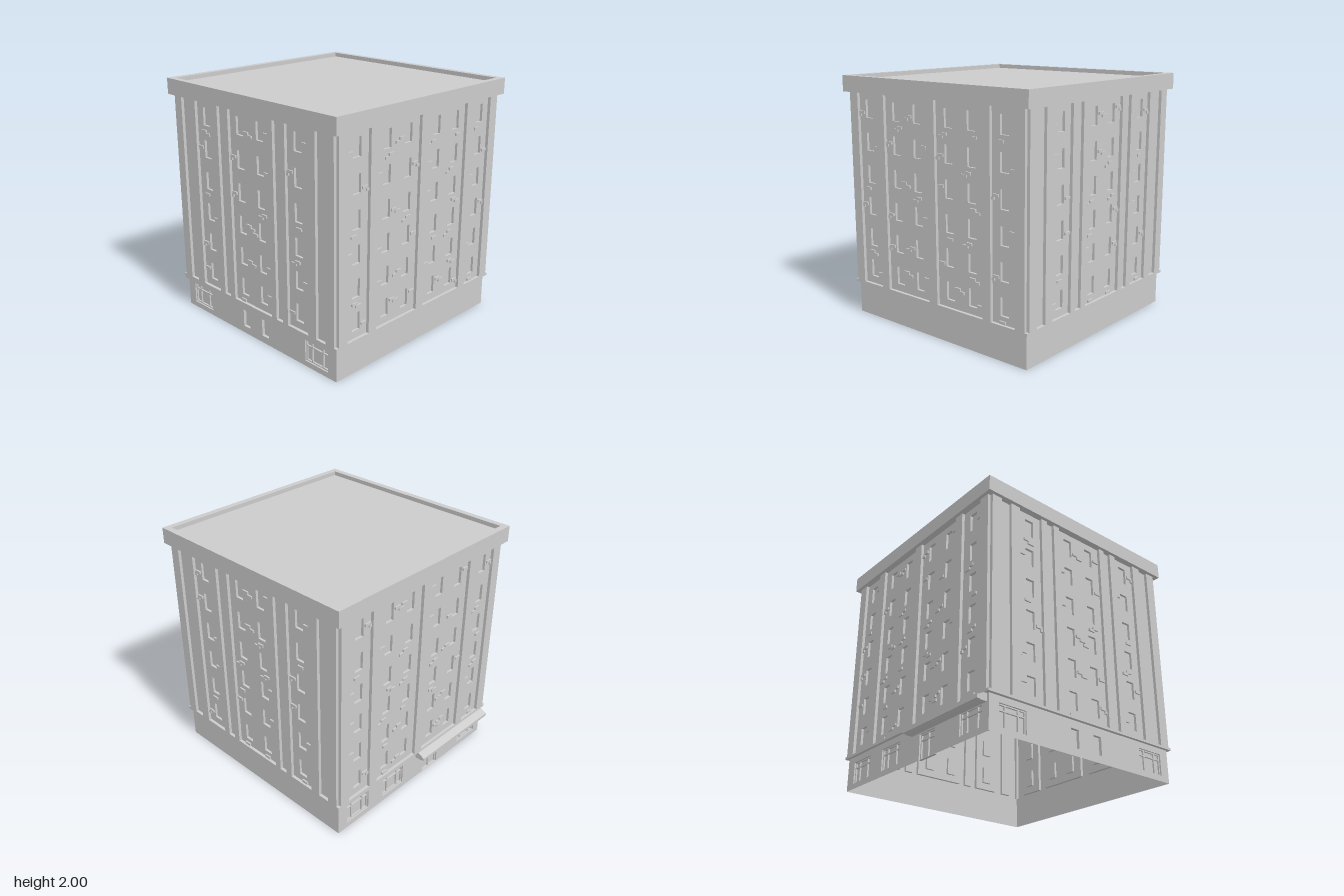
import * as THREE from 'three';
import { mergeGeometries } from 'three/addons/utils/BufferGeometryUtils.js';

const HALF = 0.905;      // half width of the square core
const RELIEF = 0.025;    // how far pilasters and ledge stand out
const LEDGE = 0.27, PANEL_Y = 0.29, EAVES = 1.87;
const grey = new THREE.MeshStandardMaterial({ color: 0xcccccc, side: THREE.DoubleSide });

let seed = 7;
const rand = () => (seed = (seed * 16807) % 2147483647) / 2147483647;

// Rectangles are [u0, u1, y0, y1] on a facade whose outside is +z
function outline(Type, [a, b, c, d]) {
  const s = new Type();
  s.moveTo(a, c);
  s.lineTo(b, c);
  s.lineTo(b, d);
  s.lineTo(a, d);
  s.closePath();
  return s;
}

// Flat sheet with rectangular openings
function sheet(rect, z, holes = []) {
  const s = outline(THREE.Shape, rect);
  s.holes = holes.map(h => outline(THREE.Path, h));
  return new THREE.ShapeGeometry(s).translate(0, 0, z);
}

function block([a, b, c, d], z0, z1) {
  return new THREE.BoxGeometry(b - a, d - c, z1 - z0)
    .translate((a + b) / 2, (c + d) / 2, (z0 + z1) / 2);
}

// The four sides around an opening
function reveal(rect, z0, z1) {
  const g = block(rect, z0, z1);
  g.setIndex(Array.from(g.index.array).slice(0, 24));
  return g;
}

const niche = (rect, z0, z1) => [reveal(rect, z0, z1), sheet(rect, z0)];
const around = (u, w, y0, y1) => [u - w / 2, u + w / 2, y0, y1];
const mirrored = rects => rects.flatMap(([a, b]) => [[a, b], [-b, -a]]);

function add(group, name, geometries) {
  const mesh = new THREE.Mesh(mergeGeometries(geometries), grey);
  mesh.name = name;
  group.add(mesh);
}

// Two stepped bricks beside or below a window
function bricks(u, y, panel) {
  const out = [];
  const w = 0.055, h = 0.022;
  const below = rand() < 0.5;
  const side = rand() < 0.5 ? -1 : 1;
  const bu = below ? u + (rand() - 0.5) * 0.08 : u + side * 0.078;
  const by = below ? y - 0.045 : y + 0.02 + rand() * 0.1;
  [[bu, by], [bu + side * 0.04, by - h]].forEach(([cu, cy], i) => {
    if (i === 1 && rand() < 0.35) return;
    const r = [Math.max(panel[0], cu - w / 2), Math.min(panel[1], cu + w / 2), cy - h / 2, cy + h / 2];
    if (r[1] - r[0] > 0.015 && r[2] > PANEL_Y) out.push(block(r, 0, 0.012));
  });
  return out;
}

function facade({ panels, columns, openings, barred }) {
  const g = new THREE.Group();
  const panelRects = panels.map(([a, b]) => [a, b, PANEL_Y, EAVES + 0.005]);
  const comb = [-HALF, HALF, LEDGE, EAVES + 0.01];

  // Pilasters joined by the ledge at their feet
  add(g, 'pilastersAndLedge', [
    sheet(comb, RELIEF, panelRects),
    reveal(comb, 0, RELIEF),
    ...panelRects.map(p => reveal(p, 0, RELIEF)),
  ]);

  // Recessed wall panels with six storeys of windows
  const wall = [], windows = [], brickwork = [];
  for (const p of panelRects) {
    const holes = [];
    for (const u of columns.filter(c => c > p[0] && c < p[1])) {
      for (let i = 0; i < 6; i++) {
        const y = 0.35 + i * 0.264;
        const hole = around(u, 0.08, y, y + 0.144);
        holes.push(hole);
        windows.push(...niche(hole, -0.02, 0));
        brickwork.push(...bricks(u, y, p));
      }
    }
    wall.push(sheet(p, 0, holes));
  }
  add(g, 'wallPanels', wall);
  add(g, 'windows', windows);
  add(g, 'projectingBricks', brickwork);

  // Ground floor
  const all = [...openings, ...barred];
  add(g, 'groundFloorWall', [sheet([-HALF, HALF, 0, LEDGE], 0, all)]);
  if (all.length) add(g, 'groundFloorOpenings', all.flatMap(r => niche(r, -0.025, 0)));

  // Frames and glazing bars of the wide windows
  const bars = barred.flatMap(([a, b, c, d]) => {
    const t = 0.01, w = b - a, ty = c + (d - c) * 0.7;
    return [
      ...[0, 0.25, 0.75, 1].map(f => around(a + t / 2 + f * (w - t), t, c, d)),
      [a, b, c, c + t], [a, b, ty, ty + t], [a, b, d - t, d],
    ].map(r => block(r, -0.025, -0.012));
  });
  if (bars.length) add(g, 'glazingBars', bars);
  return g;
}

export function createModel() {
  seed = 7;
  const model = new THREE.Group();
  const building = new THREE.Group();
  building.name = 'building';
  building.position.x = 0.015;
  model.add(building);

  const broad = {
    panels: [[-0.225, 0.23], ...mirrored([[0.285, 0.355], [0.415, 0.638], [0.722, 0.818]])],
    columns: [-0.525, -0.115, 0.115, 0.525],
  };
  const flank = {
    panels: mirrored([[0.043, 0.508], [0.59, 0.815]]),
    columns: [-0.705, -0.393, -0.165, 0.165, 0.393, 0.705],
  };
  const wide = u => around(u, 0.245, 0.045, 0.22);
  const door = [0.11, 0.3, 0.003, 0.2];

  const sides = [
    ['front', 0, {
      ...broad,
      openings: [-0.115, 0.115].map(u => around(u, 0.08, 0.06, 0.205)),
      barred: [wide(-0.698), wide(0.698)],
    }],
    ['leftSide', Math.PI / 2, { ...flank, openings: [], barred: [] }],
    ['back', Math.PI, { ...broad, openings: [], barred: [] }],
    ['entranceSide', -Math.PI / 2, {
      ...flank, openings: [door], barred: [wide(-0.69), wide(-0.275), wide(0.71)],
    }],
  ];
  for (const [name, angle, spec] of sides) {
    const g = facade(spec);
    g.name = name;
    g.rotation.y = angle;
    g.position.set(Math.sin(angle) * HALF, 0, Math.cos(angle) * HALF);
    // Ledge wraps around the corner
    add(g, 'ledgeCorner', [block([HALF, HALF + RELIEF, LEDGE, PANEL_Y], 0, RELIEF)]);
    building.add(g);

    if (name === 'entranceSide') {
      // Double door frame
      add(g, 'doorFrame', [
        [0.11, 0.12, 0.003, 0.2], [0.2, 0.21, 0.003, 0.2], [0.29, 0.3, 0.003, 0.2],
        [0.11, 0.3, 0.19, 0.2], [0.11, 0.3, 0.145, 0.155],
      ].map(r => block(r, -0.025, -0.012)));

      // Sloping canopy over the door
      const profile = new THREE.Shape([
        [0, 0.27], [0.03, 0.268], [0.085, 0.24], [0.085, 0.215], [0.065, 0.215], [0.055, 0.21], [0, 0.21],
      ].map(([x, y]) => new THREE.Vector2(x, y)));
      add(g, 'canopy', [
        new THREE.ExtrudeGeometry(profile, { depth: 0.875, bevelEnabled: false })
          .rotateY(-Math.PI / 2).translate(0.885, 0, 0),
      ]);
    }
  }

  // Overhanging parapet ring and the sunken roof deck
  const R = 0.957;
  const ring = outline(THREE.Shape, [-R, R, -R, R]);
  ring.holes.push(outline(THREE.Path, [-HALF, HALF, -HALF, HALF]));
  add(building, 'parapet', [
    new THREE.ExtrudeGeometry(ring, { depth: 2 - EAVES, bevelEnabled: false })
      .rotateX(-Math.PI / 2).translate(0, EAVES, 0),
  ]);
  add(building, 'roofDeck', [
    new THREE.PlaneGeometry(2 * HALF, 2 * HALF).rotateX(-Math.PI / 2).translate(0, 1.965, 0),
  ]);
  return model;
}
